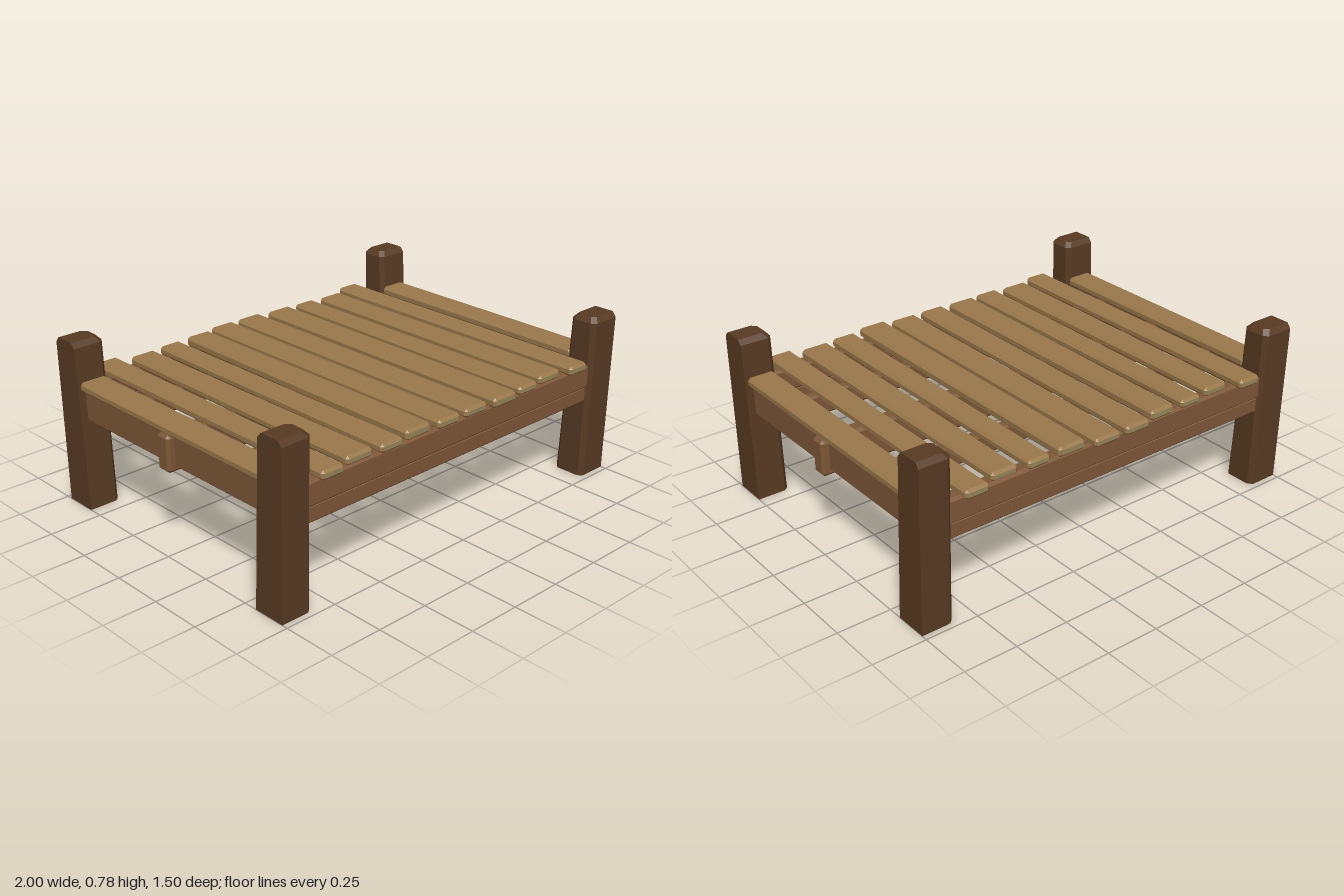
import * as THREE from 'three';
import { ConvexGeometry } from 'three/addons/geometries/ConvexGeometry.js';

const paint = (name, color) => {
  const m = new THREE.MeshStandardMaterial({ color });
  m.name = name;
  return m;
};

// Box between two corners with all edges chamfered by b
function chamferedBox([x0, y0, z0], [x1, y1, z1], b) {
  const c = [(x0 + x1) / 2, (y0 + y1) / 2, (z0 + z1) / 2];
  const h = [(x1 - x0) / 2, (y1 - y0) / 2, (z1 - z0) / 2];
  const points = [];
  for (const sx of [-1, 1]) for (const sy of [-1, 1]) for (const sz of [-1, 1]) {
    const s = [sx, sy, sz];
    for (let full = 0; full < 3; full++) {
      points.push(new THREE.Vector3(...s.map((v, i) => c[i] + v * (h[i] - (i === full ? 0 : b)))));
    }
  }
  return new ConvexGeometry(points);
}

// Corner post: leaning, inner edges and top chamfered, outer side flat
function postGeometry(sx, sz) {
  const levels = [ // y, inner x, inner z, outer z
    [0, 0.845, 0.567, 0.723],
    [0.757, 0.845, 0.602, 0.736],
    [0.78, 0.865, 0.622, 0.718],
  ];
  const points = [];
  for (const [y, xi, zi, zo] of levels) {
    const c = 0.02;
    for (const [x, z] of [[1, zi], [1, zo], [xi + c, zo], [xi, zo - c], [xi, zi + c], [xi + c, zi]]) {
      points.push(new THREE.Vector3(sx * x, y, sz * z));
    }
  }
  return new ConvexGeometry(points);
}

// Gives the faces at both z ends the second material
function groupEnds(geometry) {
  const n = geometry.attributes.normal;
  for (let i = 0; i < n.count; i += 3) {
    geometry.addGroup(i, 3, Math.abs(n.getZ(i)) > 0.9 ? 1 : 0);
  }
  return geometry;
}

export function createModel() {
  const postWood = paint('dark post wood', 0x583b23);
  const railWood = paint('brown rail wood', 0x7e5737);
  const slatWood = paint('tan slat wood', 0x9a784a);
  const endGrain = paint('pale end grain', 0x96865a);

  const model = new THREE.Group();
  model.name = 'slattedBed';
  const add = (name, geometry, material) => {
    const mesh = new THREE.Mesh(geometry, material);
    mesh.name = name;
    model.add(mesh);
  };

  for (const sx of [-1, 1]) {
    for (const sz of [-1, 1]) add('cornerPost', postGeometry(sx, sz), postWood);
    // Side rail with a slat lying between the posts
    const rail = chamferedBox([-0.035, 0.415, -0.61], [0.035, 0.56, 0.61], 0.01);
    add('sideRail', rail.translate(sx * 0.93, 0, 0), railWood);
    const slat = chamferedBox([-0.065, 0.555, -0.605], [0.065, 0.6, 0.605], 0.012);
    add('sideSlat', groupEnds(slat.translate(sx * 0.92, 0, 0)), [slatWood, endGrain]);
  }

  // Stacked boards along the front and back
  for (const sz of [-1, 1]) {
    const upper = chamferedBox([-0.86, 0.445, -0.036], [0.86, 0.56, 0.036], 0.012);
    add('upperRail', upper.translate(0, 0, sz * 0.68), railWood);
    const lower = chamferedBox([-0.86, 0.375, -0.03], [0.86, 0.455, 0.03], 0.01);
    add('lowerRail', lower.translate(0, 0, sz * 0.68), railWood);
    const joist = chamferedBox([-0.9, 0.46, -0.027], [0.9, 0.56, 0.027], 0.01);
    add('joist', joist.translate(0, 0, sz * 0.36), railWood);
  }

  // Through beam along the middle
  add('centreBeam', chamferedBox([-1, 0.395, -0.038], [1, 0.562, 0.038], 0.013), railWood);

  // Slats: left x, right x, back z, front z, top y, narrowing of the back end
  const slats = [
    [-0.805, -0.69, -0.755, 0.745, 0.597, 0],
    [-0.65, -0.51, -0.71, 0.715, 0.596, 0.1],
    [-0.477, -0.355, -0.725, 0.73, 0.595, 0.1],
    [-0.322, -0.18, -0.725, 0.715, 0.6, 0.1],
    [-0.15, -0.02, -0.755, 0.73, 0.596, 0],
    [0.013, 0.147, -0.755, 0.73, 0.595, 0],
    [0.175, 0.317, -0.725, 0.745, 0.6, 0.04],
    [0.355, 0.475, -0.725, 0.73, 0.595, 0.08],
    [0.508, 0.647, -0.71, 0.715, 0.596, 0.08],
    [0.685, 0.8, -0.755, 0.745, 0.597, 0],
  ];
  for (const [x0, x1, z0, z1, top, narrow] of slats) {
    const g = chamferedBox([x0, 0.553, z0], [x1, top, z1], 0.012);
    const p = g.attributes.position;
    const mid = (x0 + x1) / 2;
    for (let i = 0; i < p.count; i++) {
      const t = (z1 - p.getZ(i)) / (z1 - z0);
      p.setX(i, mid + (p.getX(i) - mid) * (1 - narrow * t));
    }
    g.computeVertexNormals();
    add('slat', groupEnds(g), [slatWood, endGrain]);
  }
  return model;
}
